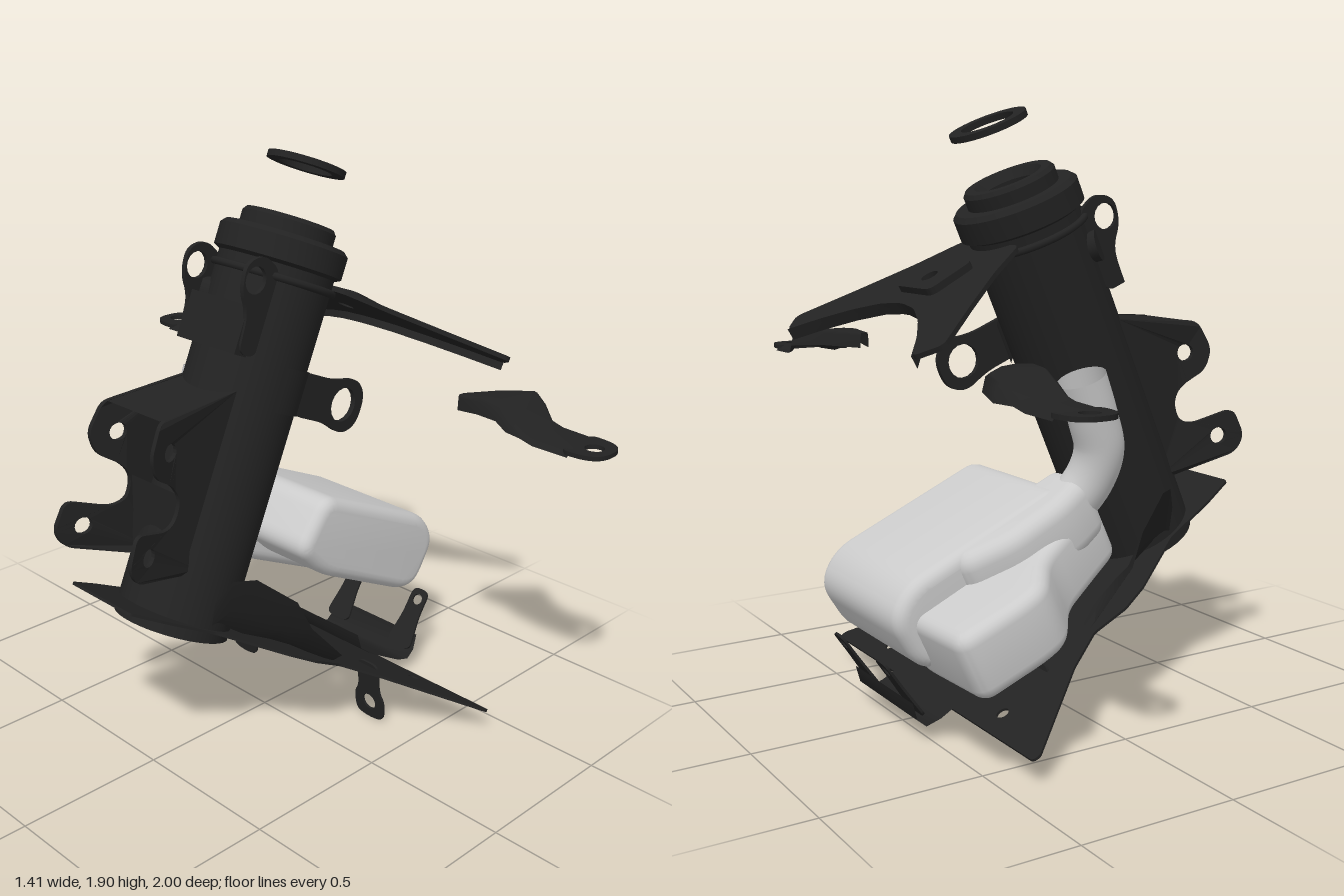
import * as THREE from 'three';
import { toCreasedNormals } from 'three/addons/utils/BufferGeometryUtils.js';

const dark = new THREE.MeshStandardMaterial({ color: 0x222222, side: THREE.DoubleSide });
const grey = new THREE.MeshStandardMaterial({ color: 0xcccccc, side: THREE.DoubleSide });

function add(parent, name, geo, mat = dark) {
  const m = new THREE.Mesh(geo, mat);
  m.name = name;
  parent.add(m);
  return m;
}

// Tilted frame: origin in the x-y plane, leaning clockwise by the angle
function frame(parent, name, x, y, angle) {
  const g = new THREE.Group();
  g.name = name;
  g.position.set(x, y, 0);
  g.rotation.z = -angle;
  parent.add(g);
  return g;
}

// Polygon with rounded corners and round holes [x, y, r]
function outline(pts, r = 0.02, holes = []) {
  const s = new THREE.Shape();
  const v = pts.map(p => new THREE.Vector2(...p));
  v.forEach((p, i) => {
    const toward = q => {
      const d = q.clone().sub(p);
      return p.clone().add(d.setLength(Math.min(r, d.length() * 0.48)));
    };
    const a = toward(v[(i + v.length - 1) % v.length]), b = toward(v[(i + 1) % v.length]);
    if (i) s.lineTo(a.x, a.y); else s.moveTo(a.x, a.y);
    s.quadraticCurveTo(p.x, p.y, b.x, b.y);
  });
  s.closePath();
  for (const [x, y, hr] of holes) s.holes.push(new THREE.Path().absarc(x, y, hr, 0, Math.PI * 2, true));
  return s;
}

function slab(shape, depth, bevel = 0) {
  const g = new THREE.ExtrudeGeometry(shape, {
    depth: depth - 2 * bevel, curveSegments: 8, bevelEnabled: bevel > 0,
    bevelThickness: bevel, bevelSize: bevel, bevelOffset: -bevel, bevelSegments: 5,
  });
  g.translate(0, 0, bevel);
  return toCreasedNormals(g, 0.6);
}
// Lays a slab flat: shape y becomes z, thickness goes down
const flat = g => g.rotateX(Math.PI / 2);
// Completes a half outline (z > 0) by mirroring
const sym = half => [...half, ...half.map(([x, z]) => [x, -z]).reverse()];

// Open surface through rows of points
function loft(rows) {
  const n = rows[0].length, idx = [];
  for (let i = 0; i < rows.length - 1; i++) for (let j = 0; j < n - 1; j++) {
    const a = i * n + j;
    idx.push(a, a + 1, a + n, a + 1, a + n + 1, a + n);
  }
  const g = new THREE.BufferGeometry();
  g.setAttribute('position', new THREE.Float32BufferAttribute(rows.flat(2), 3));
  g.setIndex(idx);
  g.computeVertexNormals();
  return g;
}

function lathe(pts) {
  return toCreasedNormals(new THREE.LatheGeometry(pts.map(p => new THREE.Vector2(...p)), 48), 0.5);
}

export function createModel() {
  const root = new THREE.Group();

  // Leaning head tube with collar, inner seat and loose washer
  const tube = frame(root, 'headTube', -0.41, 0.47, 0.405);
  add(tube, 'tubeBody', lathe([[0, 0.02], [0.15, 0.02], [0.16, 0], [0.185, 0], [0.185, 1.17], [0.205, 1.18],
    [0.205, 1.25], [0.19, 1.265], [0.15, 1.265], [0.15, 1.305], [0.14, 1.318], [0.11, 1.318],
    [0.085, 1.29], [0.085, 1.2], [0, 1.2]]));
  add(tube, 'collarGroove', new THREE.TorusGeometry(0.19, 0.012, 8, 48).rotateX(Math.PI / 2).translate(0, 1.13, 0));
  add(tube, 'washer', lathe([[0.085, 1.48], [0.125, 1.48], [0.125, 1.5], [0.085, 1.5], [0.085, 1.48]]));

  // Strap on the left flank with its ring ear
  add(tube, 'strap', new THREE.CylinderGeometry(0.195, 0.195, 0.14, 20, 1, true, -0.15, 1.2).translate(0, 0.81, 0));
  const ring = outline([[0.08, 0.74], [0.24, 0.74], [0.33, 0.715], [0.39, 0.76], [0.39, 0.86], [0.33, 0.905],
    [0.24, 0.88], [0.08, 0.88]], 0.045, [[0.3, 0.811, 0.056]]);
  add(tube, 'strapEar', slab(ring, 0.018).translate(0, 0, 0.15));

  // Upper rear bracket: two ears, a joining web and a boss
  const lockEar = outline([[-0.12, 0.88], [-0.19, 0.88], [-0.2, 1.0], [-0.25, 1.06], [-0.26, 1.14],
    [-0.2, 1.18], [-0.12, 1.15]], 0.035, [[-0.207, 1.1, 0.042]]);
  for (const s of [-1, 1]) add(tube, 'upperRearEar', slab(lockEar, 0.015).translate(0, 0, s * 0.13 - 0.007));
  add(tube, 'upperRearWeb', new THREE.BoxGeometry(0.05, 0.15, 0.26).translate(-0.175, 0.95, 0));
  add(tube, 'upperRearBoss', new THREE.CylinderGeometry(0.05, 0.05, 0.03, 24).rotateX(Math.PI / 2)
    .rotateY(Math.PI / 4).translate(-0.135, 1.03, -0.135));

  // Rear engine mount: flared side plates closed by webs
  const mount = outline([[-0.2, 1.235], [-0.54, 1.215], [-0.59, 1.12], [-0.57, 1.05], [-0.49, 1.0], [-0.46, 0.95],
    [-0.48, 0.885], [-0.53, 0.87], [-0.67, 0.915], [-0.71, 0.82], [-0.68, 0.765], [-0.46, 0.695], [-0.38, 0.7]],
  0.03, [[-0.5, 1.11, 0.028], [-0.62, 0.825, 0.028]]);
  for (const s of [-1, 1]) {
    const g = slab(mount, 0.015), p = g.attributes.position;
    for (let i = 0; i < p.count; i++) {
      const flare = THREE.MathUtils.clamp((-0.48 - p.getX(i)) / 0.22, 0, 1);
      p.setZ(i, s * (0.115 + 0.065 * flare) + p.getZ(i) - 0.007);
    }
    g.computeVertexNormals();
    add(root, 'rearMountPlate', g);
  }
  const web = (a, b, w) => loft([[[...a, w], [...a, -w]], [[...b, w], [...b, -w]]]);
  add(root, 'rearMountTopWeb', web([-0.2, 1.233], [-0.53, 1.213], 0.12));
  add(root, 'rearMountBackWeb', web([-0.46, 0.96], [-0.46, 0.71], 0.115));

  // Upper wing: forked plate with raised pad
  const wing = frame(root, 'upperWing', 0.2, 1.465, 0.506);
  const arc = [[0.54, 0.43], [0.46, 0.33], [0.39, 0.22], [0.34, 0.11], [0.325, 0.02]];
  const wingShape = outline(sym([[-0.03, 0.17], [0.12, 0.25], [0.28, 0.36], [0.47, 0.5], ...arc]),
    0.025, [[0.2, 0, 0.028]]);
  add(wing, 'wingPlate', flat(slab(wingShape, 0.015)));
  add(wing, 'wingPad', flat(slab(outline([[0.1, 0.11], [0.27, 0.11], [0.27, -0.11], [0.1, -0.11]],
    0.03, [[0.2, 0, 0.028]]), 0.035)).translate(0, 0.022, 0));
  const rim = sym(arc);
  add(wing, 'wingRim', loft([rim.map(([s, z]) => [s, 0, z]), rim.map(([s, z]) => [s, -0.04, z])]));

  // Side arms: arched strip ending in a flat eyelet
  const stations = [[0.49, 1.17, 0.36, 0.39], [0.57, 1.178, 0.355, 0.49], [0.64, 1.175, 0.355, 0.575],
    [0.68, 1.15, 0.355, 0.565], [0.73, 1.115, 0.355, 0.535], [0.78, 1.103, 0.355, 0.53], [0.9, 1.1, 0.36, 0.525]];
  const eyelet = outline([[0.36, 0.87], [0.365, 0.96], [0.4, 1.0], [0.48, 1.0], [0.515, 0.96], [0.525, 0.87]],
    0.035, [[0.44, 0.94, 0.03]]);
  for (const s of [-1, 1]) {
    const arm = new THREE.Group();
    arm.name = s > 0 ? 'leftArm' : 'rightArm';
    root.add(arm);
    add(arm, 'armStrip', loft(stations.map(([z, y, a, b], i) => {
      const drop = i < 4 ? 0.05 : 0.02, e = (b - a) * 0.12;
      return [[a, y - drop, s * z], [a + e * 0.4, y - 0.01, s * z], [a + e, y, s * z],
        [b - e, y, s * z], [b - e * 0.4, y - 0.01, s * z], [b, y - drop, s * z]];
    })));
    const end = add(arm, 'armEyelet', flat(slab(eyelet, 0.014)));
    end.position.y = 1.1;
    if (s < 0) end.geometry.applyMatrix4(new THREE.Matrix4().makeRotationX(Math.PI)).translate(0, -0.014, 0);
  }

  // Lower gusset plate beneath the tube
  const lower = frame(root, 'lowerGusset', -0.68, 0.66, 0.4852);
  const gusset = outline(sym([[0, 0.14], [0.12, 0.17], [0.32, 0.2], [0.55, 0.32], [0.65, 0.35], [0.78, 0.345],
    [0.92, 0.42], [1.22, 0.645], [1.245, 0.64]]), 0.012,
  [[1.17, 0.37, 0.02], [1.17, -0.37, 0.02], [0.93, 0.15, 0.025], [0.93, -0.15, 0.025]]);
  add(lower, 'gussetPlate', flat(slab(gusset, 0.008)));

  // Flared skirts joining tube and gusset
  for (const s of [-1, 1]) {
    const top = [[-0.4, 0.61, 0.2], [-0.36, 0.685, 0.24], [-0.3, 0.685, 0.28], [-0.18, 0.585, 0.335],
      [-0.13, 0.48, 0.35], [0.01, 0.33, 0.35]];
    const base = [[-0.4, 0.51, 0.17], [-0.34, 0.5, 0.175], [-0.27, 0.45, 0.18], [-0.17, 0.4, 0.2],
      [-0.1, 0.36, 0.22], [0.0, 0.31, 0.26]];
    const side = pts => pts.map(([x, y, z]) => [x, y, s * z]);
    const mid = top.map((p, i) => p.map((c, k) => (c + base[i][k]) / 2 - (k === 1 ? 0.03 : 0)));
    add(root, 'gussetSkirt', loft([side(top), side(mid), side(base)]));
  }

  // Front channel, upright tabs and hanging eyelets below the tank
  const channel = [[0.25, 0.25], [0.27, 0.19], [0.32, 0.15], [0.47, 0.065], [0.52, 0.05], [0.55, 0.075], [0.565, 0.13]];
  add(root, 'frontChannel', loft(channel.map(p => [[...p, 0.2], [...p, -0.2]])));
  const tab = outline([[-0.055, 0], [0.055, 0], [0.035, 0.12], [0.035, 0.22], [-0.035, 0.22], [-0.035, 0.12]],
    0.03, [[0, 0.18, 0.02]]);
  const hanger = outline([[-0.045, 0.22], [-0.045, 0.11], [-0.065, 0.08], [-0.06, 0.01], [-0.02, 0], [0.02, 0],
    [0.06, 0.01], [0.065, 0.08], [0.045, 0.11], [0.045, 0.22]], 0.03, [[0, 0.062, 0.028]]);
  for (const s of [-1, 1]) {
    const t = add(root, 'uprightTab', slab(tab, 0.008).rotateY(Math.PI / 2).rotateZ(-0.6));
    t.position.set(0.52, 0.085, s * 0.15);
    const h = add(root, 'hangingEyelet', slab(hanger, 0.008).rotateY(Math.PI / 2).rotateZ(0.1));
    h.position.set(0.2, 0, s * 0.31);
  }

  // Two-lobed tank with open filler pipe
  const tank = frame(root, 'tank', -0.06, 0.54, 0.432);
  const main = outline([[0.04, 0.1], [0.09, 0.305], [0.65, 0.31], [0.745, 0.24], [0.725, 0.07], [0.66, 0.03],
    [0.2, 0.04]], 0.06);
  add(tank, 'mainLobe', slab(main, 0.53, 0.04).translate(0, 0, -0.38), grey);
  const sideLobe = outline([[0, -0.12], [0, -0.38], [0.12, -0.43], [0.28, -0.5], [0.38, -0.63], [0.46, -0.645],
    [0.68, -0.625], [0.69, -0.3], [0.6, -0.1]], 0.05);
  add(tank, 'sideLobe', flat(slab(sideLobe, 0.215, 0.04)).translate(0, 0.215, 0), grey);
  const shoulder = outline([[0.01, -0.22], [0.01, -0.4], [0.14, -0.45], [0.34, -0.46], [0.5, -0.4], [0.5, -0.22]], 0.05);
  add(tank, 'tankShoulder', flat(slab(shoulder, 0.2, 0.05)).translate(0, 0.3, 0), grey);
  const path = new THREE.CatmullRomCurve3([[0.1, 1.1, -0.4], [0.055, 0.98, -0.395], [0.025, 0.88, -0.385],
    [0.04, 0.79, -0.36], [0.12, 0.66, -0.31]].map(p => new THREE.Vector3(...p)));
  add(root, 'fillerPipe', new THREE.TubeGeometry(path, 32, 0.076, 28), grey);

  return root;
}
